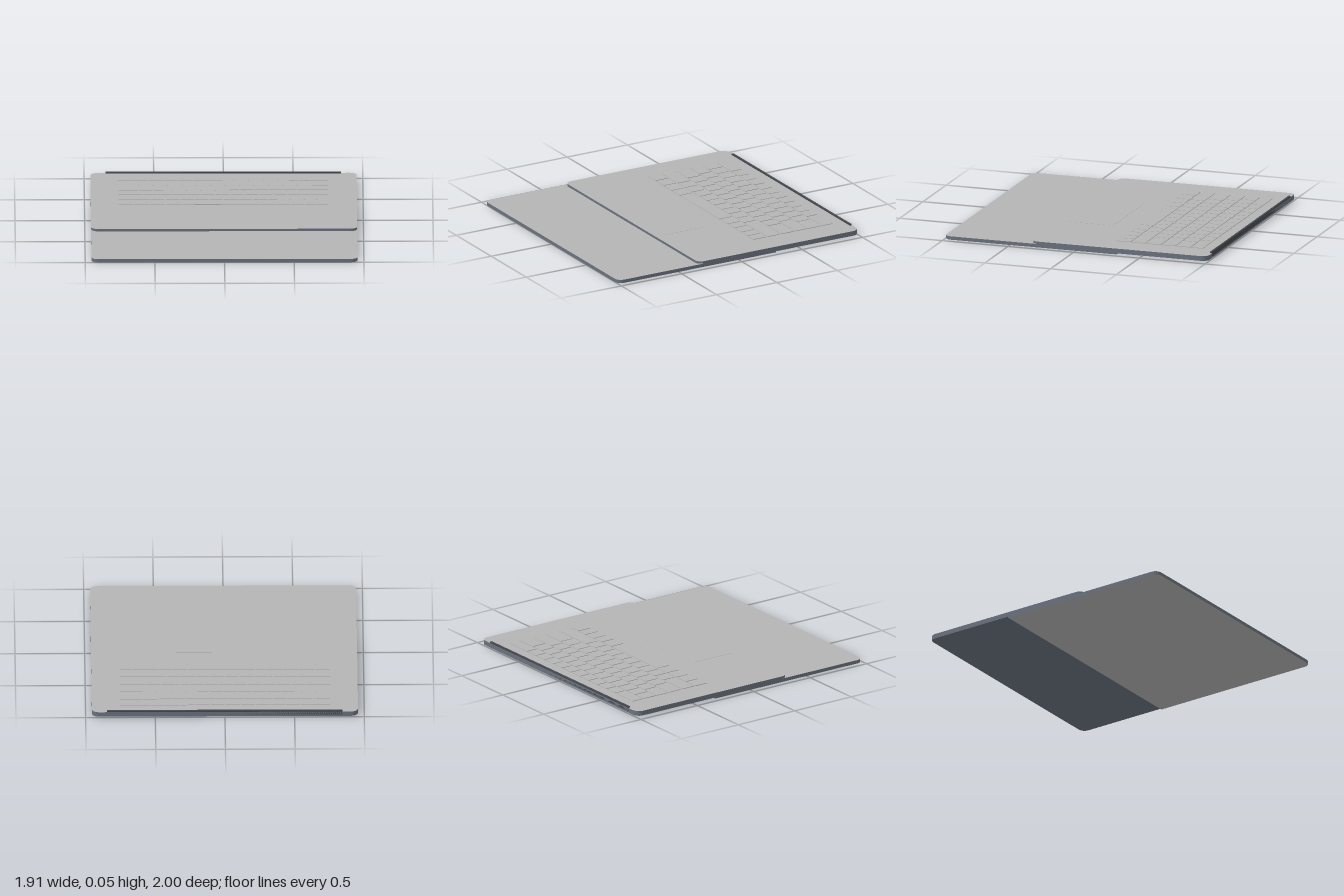
import * as THREE from 'three';

const silver = new THREE.MeshStandardMaterial({ color: 0xb4b4b4 });
silver.name = 'silver';
const slate = new THREE.MeshStandardMaterial({ color: 0x69717d });
slate.name = 'slate';
const dark = new THREE.MeshStandardMaterial({ color: 0x45484d });
dark.name = 'dark grey';

// Plan outline with separate corner radii at the back (-z) and front (+z)
function outline(x0, x1, z0, z1, rBack, rFront) {
  const s = new THREE.Shape();
  s.moveTo(x0 + rFront, -z1);
  s.lineTo(x1 - rFront, -z1);
  if (rFront) s.absarc(x1 - rFront, -z1 + rFront, rFront, -Math.PI / 2, 0);
  s.lineTo(x1, -z0 - rBack);
  if (rBack) s.absarc(x1 - rBack, -z0 - rBack, rBack, 0, Math.PI / 2);
  s.lineTo(x0 + rBack, -z0);
  if (rBack) s.absarc(x0 + rBack, -z0 - rBack, rBack, Math.PI / 2, Math.PI);
  s.lineTo(x0, -z1 + rFront);
  if (rFront) s.absarc(x0 + rFront, -z1 + rFront, rFront, Math.PI, Math.PI * 1.5);
  return s;
}

// Flat slab lying between heights y0 and y1; materials are [faces, rim]
function slab(name, shape, y0, y1, materials) {
  const g = new THREE.ExtrudeGeometry(shape, { depth: y1 - y0, bevelEnabled: false, curveSegments: 8 });
  g.rotateX(-Math.PI / 2);
  g.translate(0, y0, 0);
  const m = new THREE.Mesh(g, materials);
  m.name = name;
  return m;
}

function box(name, x0, x1, y0, y1, z0, z1, material) {
  const m = new THREE.Mesh(new THREE.BoxGeometry(x1 - x0, y1 - y0, z1 - z0), material);
  m.position.set((x0 + x1) / 2, (y0 + y1) / 2, (z0 + z1) / 2);
  m.name = name;
  return m;
}

export function createModel() {
  const model = new THREE.Group();
  const W = 0.955, deck = 0.043;

  // Lid folded flat under the base
  model.add(slab('lid', outline(-W, W, -0.31, 1, 0, 0.05), 0, 0.025, [silver, slate]));

  // Base: slate body with a silver deck on top
  model.add(slab('baseBody', outline(-W, W, -1, 0.335, 0.05, 0.05), 0.008, deck - 0.003, [slate, slate]));
  model.add(slab('deck', outline(-W, W, -1, 0.335, 0.05, 0.05), deck - 0.003, deck, [silver, slate]));

  // Hinge bar along the back edge
  model.add(box('hingeBar', -0.845, 0.845, 0.02, 0.053, -1, -0.985, dark));

  // Trackpad
  model.add(box('trackpad', -0.345, 0.345, deck - 0.002, deck + 0.001, -0.07, 0.27, silver));

  // Keyboard rows: back z, front z, then key widths from the left end
  const rep = (n, w) => Array(n).fill(w);
  const rows = [
    [-0.895, -0.81, [0.217, ...rep(10, 0.108), 0.218]],
    [-0.8, -0.69, [...rep(13, 0.1042), 0.16]],
    [-0.685, -0.585, [0.15, ...rep(11, 0.1035), 0.226]],
    [-0.575, -0.47, [0.18, ...rep(11, 0.1039), 0.192]],
    [-0.455, -0.355, [0.235, ...rep(9, 0.1047), 0.338]],
    [-0.345, -0.24, [0.111, 0.116, 0.116, 0.117, 0.566, 0.116, 0.095, 0.1, 0.09, 0.088]],
  ];
  const keyboard = new THREE.Group();
  keyboard.name = 'keyboard';
  for (const [z0, z1, widths] of rows) {
    let x = -0.76;
    for (const w of widths) {
      keyboard.add(box('key', x + 0.004, x + w - 0.004, deck - 0.002, deck + 0.004, z0, z1, silver));
      x += w;
    }
  }
  model.add(keyboard);
  return model;
}
